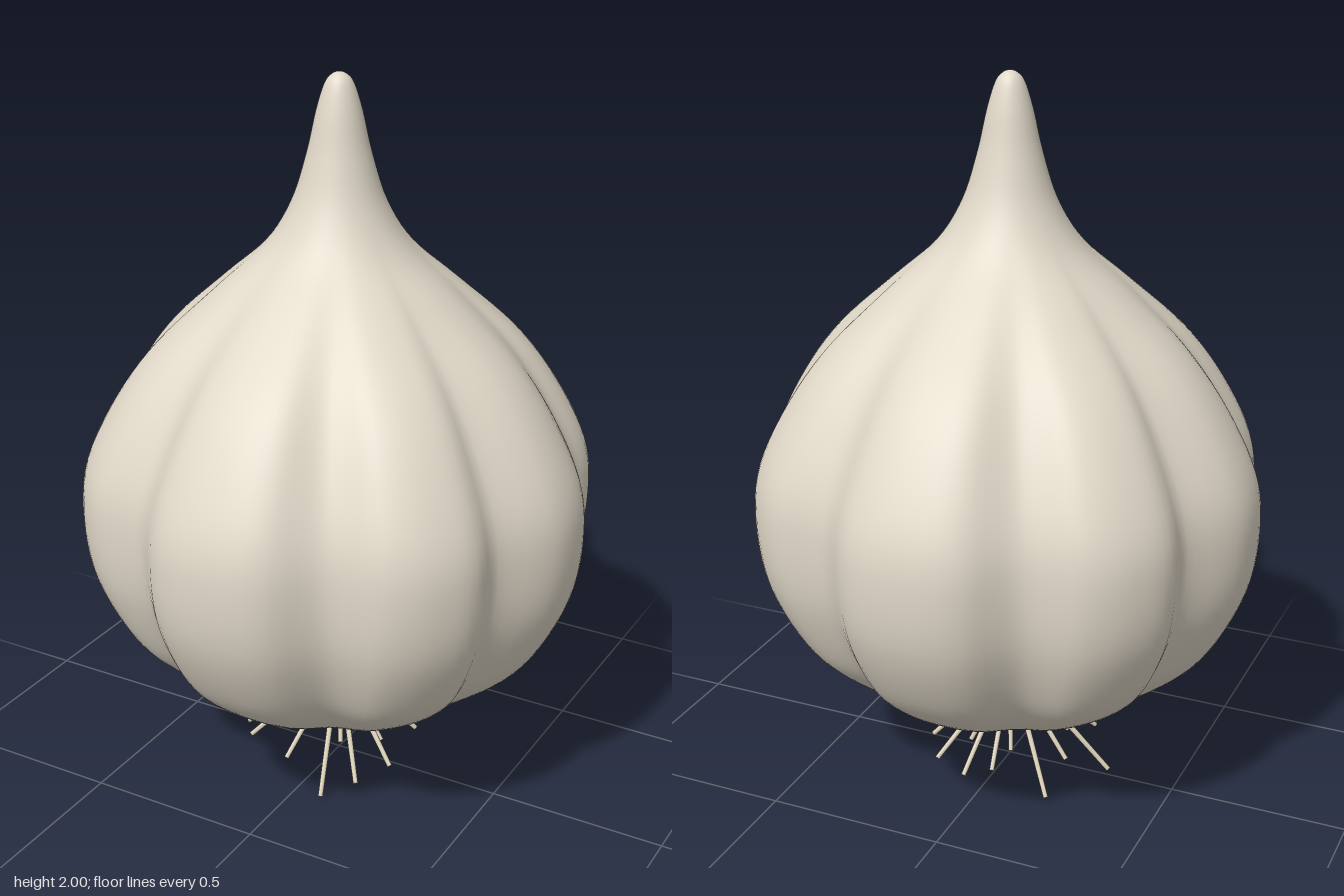
import * as THREE from 'three';
import { mergeVertices } from 'three/addons/utils/BufferGeometryUtils.js';

const skin = new THREE.MeshStandardMaterial({ color: 0xe0d8c8 });
skin.name = 'papery skin';
const rootColour = new THREE.MeshStandardMaterial({ color: 0xd6ccb4 });
rootColour.name = 'dry root';

const curve = (pairs) =>
  new THREE.SplineCurve(pairs.map(([a, b]) => new THREE.Vector2(a, b)));

// Bulb silhouette along a clove ridge: [radius, height]
const profile = curve([
  [0, 0.205], [0.13, 0.207], [0.25, 0.233], [0.38, 0.29], [0.51, 0.38],
  [0.6, 0.48], [0.68, 0.65], [0.704, 0.82], [0.685, 0.97], [0.6, 1.14],
  [0.49, 1.285], [0.33, 1.43], [0.2, 1.545], [0.127, 1.66], [0.085, 1.79],
  [0.06, 1.9], [0.038, 1.97], [0.018, 1.994], [0, 2],
]);

// Clove outline over a quarter turn from the x axis: [degrees, radius]
const outline = [
  [0, 0.705], [7, 0.698], [13, 0.677], [19, 0.655], [24.5, 0.65], [29, 0.682],
  [33, 0.699], [39, 0.705], [45, 0.704], [52, 0.688], [58, 0.65], [63, 0.629],
  [67, 0.635], [71, 0.656], [75, 0.682], [79, 0.697], [84, 0.704], [90, 0.705],
];

// Smooth lookup of the outline, relative to the ridge radius
function cloveScale(deg) {
  let i = 0;
  while (i < outline.length - 2 && deg > outline[i + 1][0]) i++;
  const at = (k) => outline[Math.min(Math.max(k, 0), outline.length - 1)];
  const slope = (k) => (k <= 0 || k >= outline.length - 1)
    ? 0 : (at(k + 1)[1] - at(k - 1)[1]) / (at(k + 1)[0] - at(k - 1)[0]);
  const [a0, r0] = at(i), [a1, r1] = at(i + 1);
  const h = a1 - a0, t = (deg - a0) / h, t2 = t * t, t3 = t2 * t;
  const r = (2 * t3 - 3 * t2 + 1) * r0 + (t3 - 2 * t2 + t) * h * slope(i)
    + (3 * t2 - 2 * t3) * r1 + (t3 - t2) * h * slope(i + 1);
  return r / 0.705;
}

// Lathe pushed in between the cloves, fading out at the neck and base
function bulbGeometry() {
  const points = profile.getPoints(90);
  points.forEach((p) => { p.x = Math.max(p.x, 0); });
  const lathe = new THREE.LatheGeometry(points, 160);
  const pos = lathe.attributes.position;
  for (let i = 0; i < pos.count; i++) {
    const x = pos.getX(i), z = pos.getZ(i);
    const deg = THREE.MathUtils.radToDeg(Math.atan2(Math.abs(z), Math.abs(x)));
    const fade = THREE.MathUtils.smoothstep(Math.hypot(x, z), 0.1, 0.58);
    const s = 1 + (cloveScale(deg) - 1) * fade;
    pos.setX(i, x * s);
    pos.setZ(i, z * s);
  }
  lathe.deleteAttribute('normal');
  lathe.deleteAttribute('uv');
  const geometry = mergeVertices(lathe, 1e-5);
  geometry.computeVertexNormals();
  return geometry;
}

// Straight thin root from the base plate to its tip
function makeRoot(tip) {
  const end = new THREE.Vector3(...tip);
  const start = new THREE.Vector3(tip[0] * 0.3, 0.22, tip[2] * 0.3);
  const dir = end.clone().sub(start);
  const root = new THREE.Mesh(
    new THREE.CylinderGeometry(0.009, 0.007, dir.length(), 8), rootColour);
  root.position.copy(start).add(end).multiplyScalar(0.5);
  root.quaternion.setFromUnitVectors(new THREE.Vector3(0, -1, 0), dir.normalize());
  root.name = 'root';
  return root;
}

const rootTips = [
  [-0.3, 0.006, 0.02], [-0.2, 0.02, -0.21], [0.09, 0.015, 0.27],
  [0.22, 0.06, 0.1], [0.17, 0.05, 0.21], [-0.21, 0.06, 0.15],
  [-0.05, 0.07, 0.22], [0.04, 0.05, -0.24], [0.14, 0.06, -0.2],
  [0.2, 0.07, -0.1], [-0.03, 0.06, -0.2], [-0.15, 0.07, 0.08],
  [-0.2, 0.06, -0.06], [0.06, 0.09, 0.1], [0.15, 0.08, 0.02],
  [-0.05, 0.08, -0.11], [0.08, 0.08, -0.1],
];

export function createModel() {
  const model = new THREE.Group();
  model.name = 'garlicBulb';

  const bulb = new THREE.Mesh(bulbGeometry(), skin);
  bulb.name = 'bulb';
  model.add(bulb);

  const roots = new THREE.Group();
  roots.name = 'roots';
  rootTips.forEach((tip) => roots.add(makeRoot(tip)));
  model.add(roots);

  return model;
}
